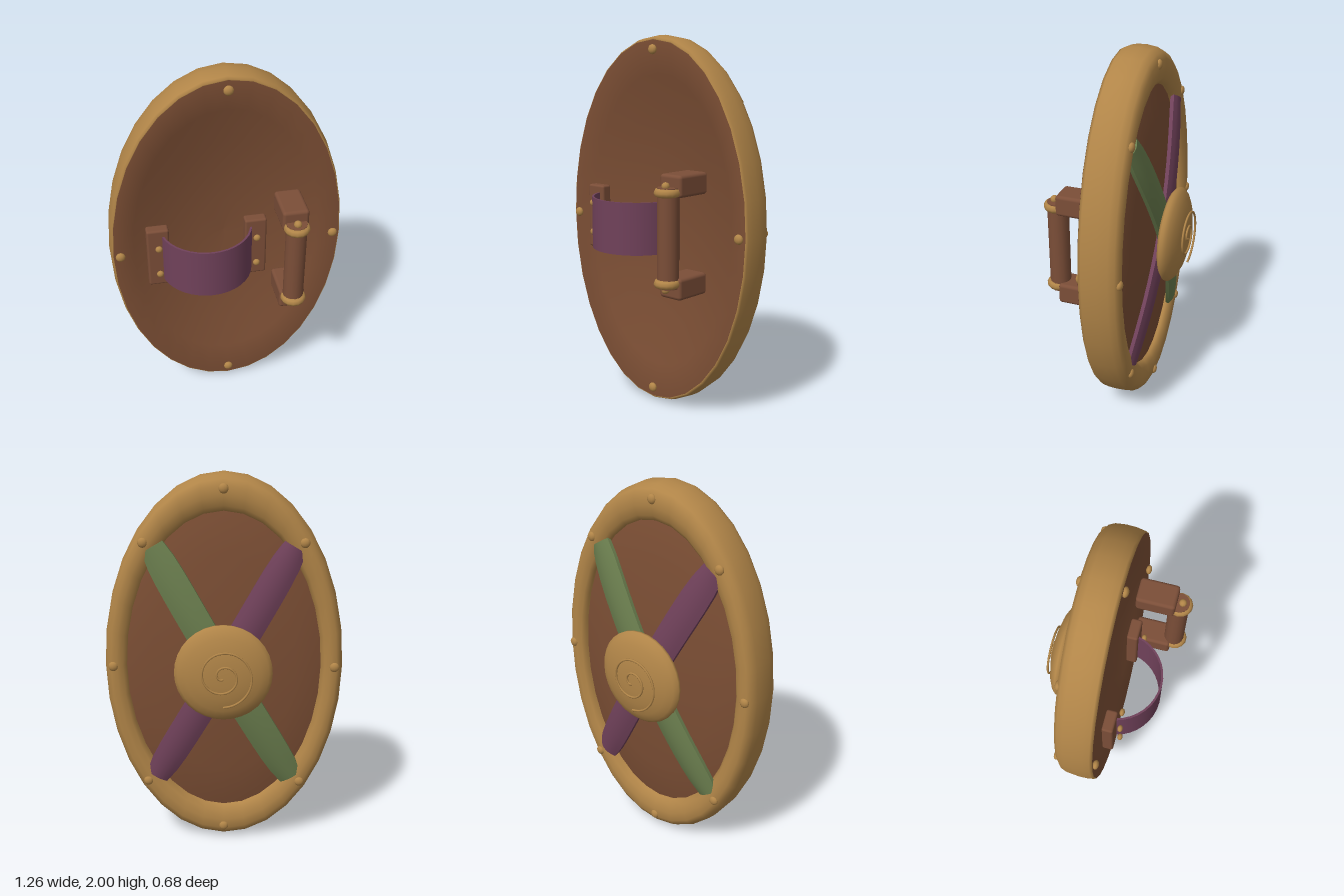
import * as THREE from 'three';
import { RoundedBoxGeometry } from 'three/addons/geometries/RoundedBoxGeometry.js';

const material = (name, color) => {
  const m = new THREE.MeshStandardMaterial({ color });
  m.name = name;
  return m;
};

export function createModel() {
  const brass = material('brass', 0xb18548);
  const wood = material('wood', 0x7b4e34);
  const leather = material('leather', 0x7b4e38);
  const purple = material('purple', 0x70415a);
  purple.side = THREE.DoubleSide;
  const green = material('green', 0x697c4d);

  const model = new THREE.Group();
  model.name = 'shield';
  const add = (name, geometry, mat, x = 0, y = 0, z = 0) => {
    const mesh = new THREE.Mesh(geometry, mat);
    mesh.name = name;
    mesh.position.set(x, y, z);
    model.add(mesh);
    return mesh;
  };

  // Turned profile of [radius, z] pairs, stretched into an ellipse
  const RX = 0.631;
  const turned = (points, sx = 1, segments = 32) => {
    const g = new THREE.LatheGeometry(points.map(p => new THREE.Vector2(...p)), segments);
    return g.rotateX(Math.PI / 2).scale(sx, 1, 1);
  };

  // Board: domed back, hollow dish on the front
  add('board', turned([
    [0, -0.178], [0.2, -0.175], [0.4, -0.163], [0.6, -0.145], [0.83, -0.115], [0.92, -0.07], [0.965, 0],
    [0.976, 0.046], [0.8, 0.006], [0.6, -0.035], [0.4, -0.066], [0.2, -0.084], [0, -0.09],
  ], RX), wood, 0, 1);

  // Wide rounded rim
  add('rim', turned([
    [0.81, -0.09], [0.812, -0.13], [0.84, -0.152], [0.89, -0.163], [0.94, -0.16], [0.972, -0.142],
    [0.992, -0.11], [1, -0.055], [0.998, -0.005], [0.99, 0.028], [0.981, 0.044], [0.965, 0.035],
  ], RX), brass, 0, 1);

  // Rivets: eight on the back, four on the front
  const rivet = new THREE.SphereGeometry(0.026, 12, 8).scale(1, 1, 0.65);
  for (let i = 0; i < 8; i++) {
    const a = i * Math.PI / 4;
    const x = 0.58 * Math.cos(a), y = 1 + 0.925 * Math.sin(a);
    add('backRivet', rivet, brass, x, y, -0.158);
    if (i % 2 === 0) add('frontRivet', rivet, brass, x, y, 0.051);
  }

  // Crossed straps: bars bent over the dome with a rounded outer face
  const strap = (name, mat, dir, lift) => {
    const L = 1.46, W = 0.165;
    const g = new THREE.BoxGeometry(L, W, 0.02, 16, 6, 1);
    const p = g.attributes.position;
    for (let i = 0; i < p.count; i++) {
      const t = p.getX(i) / (L / 2), s = p.getY(i) / (W / 2);
      const crown = p.getZ(i) < 0 ? 0.019 * (1 - s * s) : 0;
      p.setY(i, p.getY(i) * (1 - 0.25 * t ** 8));
      p.setZ(i, p.getZ(i) - 0.137 - lift * (1 - t * t) - crown);
    }
    g.computeVertexNormals();
    g.rotateZ(Math.atan2(0.625, 0.36 * dir));
    add(name, g, mat, 0, 1);
  };
  strap('purpleStrap', purple, -1, 0.06);
  strap('greenStrap', green, 1, 0.072);

  // Central boss with raised spiral
  add('boss', turned([
    [0, -0.33], [0.06, -0.33], [0.13, -0.323], [0.195, -0.305], [0.235, -0.285], [0.254, -0.265],
    [0.253, -0.25], [0.235, -0.235], [0.17, -0.217], [0, -0.212],
  ]), brass, 0, 1);
  const spiral = [];
  for (let i = 0; i <= 48; i++) {
    const t = i / 48, r = 0.012 + 0.152 * t, a = -Math.PI / 2 - (1 - t) * 4 * Math.PI;
    spiral.push(new THREE.Vector3(r * Math.cos(a), r * Math.sin(a), -0.334));
  }
  add('bossSpiral', new THREE.TubeGeometry(new THREE.CatmullRomCurve3(spiral), 96, 0.006, 6), brass, 0, 1);

  // Arm band between two riveted plates
  const bandX = -0.122, bandY = 1.003;
  const bandRivet = new THREE.SphereGeometry(0.019, 10, 8).scale(1, 1, 0.75);
  for (const s of [-1, 1]) {
    add('bandPlate', new RoundedBoxGeometry(0.118, 0.355, 0.06, 2, 0.012), leather, bandX + s * 0.26, 1.005, 0.075);
    for (const y of [0.92, 1.085]) add('bandRivet', bandRivet, brass, bandX + s * 0.26, y, 0.13);
  }
  const phi = 1.33, bandR = 0.2475, bandZ = 0.04;
  for (const [name, r] of [['armBandOuter', bandR], ['armBandInner', bandR - 0.011]]) {
    add(name, new THREE.CylinderGeometry(r, r, 0.28, 16, 1, true, -phi, 2 * phi), purple, bandX, bandY, bandZ);
  }
  const edge = new THREE.RingGeometry(bandR - 0.011, bandR, 16, 1, Math.PI / 2 - phi, 2 * phi).rotateX(Math.PI / 2);
  for (const s of [-1, 1]) add('armBandEdge', edge, purple, bandX, bandY + s * 0.14, bandZ);

  // Hand grip on two brackets
  const gx = 0.31, gy = 1.003, gz = 0.272;
  add('grip', new THREE.CylinderGeometry(0.055, 0.055, 0.51, 14), leather, gx, gy, gz);
  for (const s of [-1, 1]) {
    add('gripBracket', new RoundedBoxGeometry(0.14, 0.113, 0.212, 2, 0.018), leather, gx, gy + s * 0.26, 0.154);
    const collar = new THREE.TorusGeometry(0.045, 0.024, 8, 14).rotateX(Math.PI / 2);
    add('gripCollar', collar, brass, gx, gy + s * 0.23, gz + 0.005);
    add('gripPin', new THREE.SphereGeometry(0.021, 10, 8), brass, gx, gy + s * 0.262, gz + 0.018);
  }
  return model;
}
